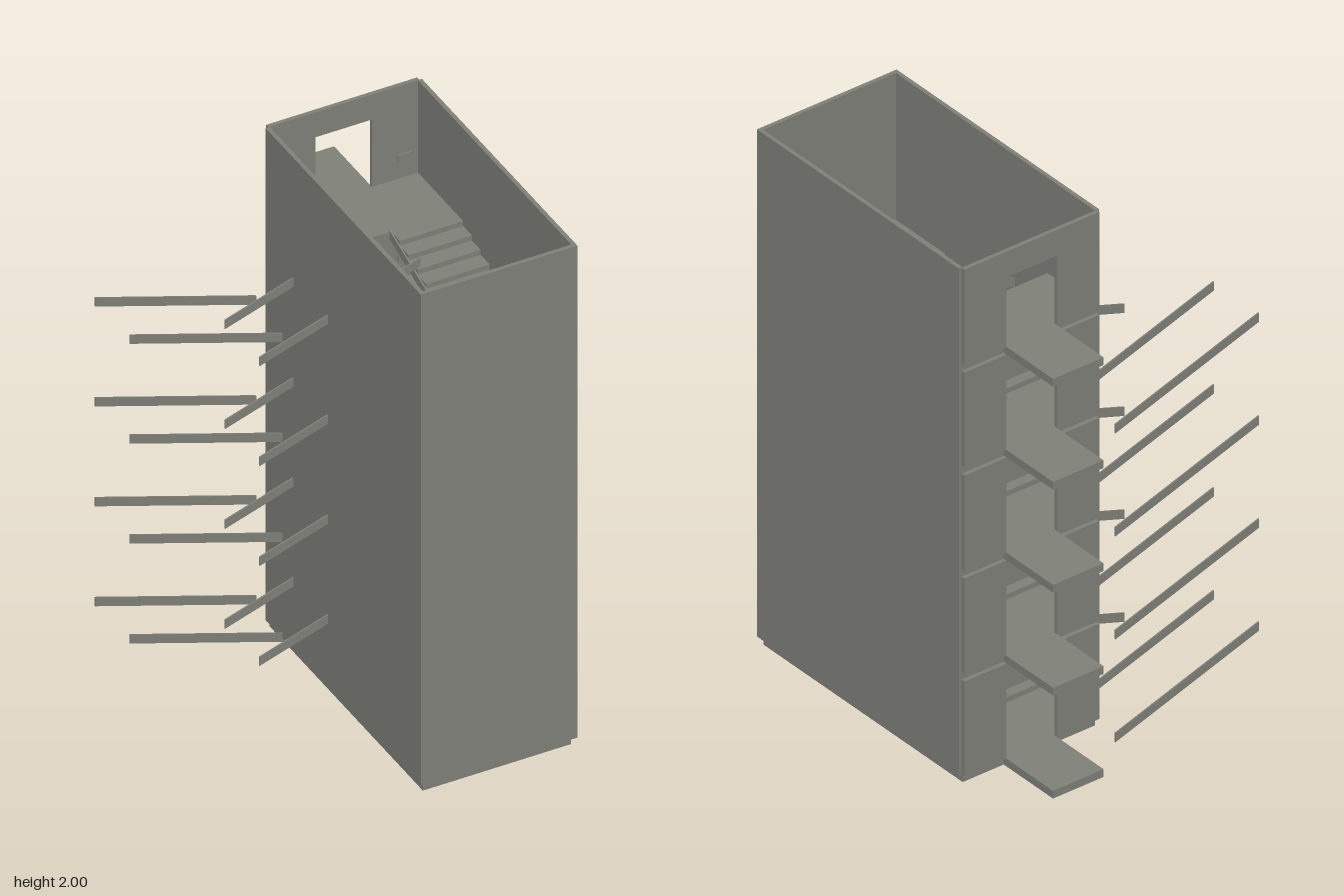
import * as THREE from 'three';

export function createModel() {
  const model = new THREE.Group();
  const concrete = new THREE.MeshStandardMaterial({ color: 0x80827a });
  concrete.name = 'concrete grey';

  const add = (name, geometry) => {
    const mesh = new THREE.Mesh(geometry, concrete);
    mesh.name = name;
    model.add(mesh);
    return mesh;
  };
  // Box given by its limits on each axis
  const box = (name, x0, x1, y0, y1, z0, z1) =>
    add(name, new THREE.BoxGeometry(x1 - x0, y1 - y0, z1 - z0)
      .translate((x0 + x1) / 2, (y0 + y1) / 2, (z0 + z1) / 2));
  // Flat outline extruded along z
  const extrude = (points, depth) => new THREE.ExtrudeGeometry(
    new THREE.Shape(points.map(([a, b]) => new THREE.Vector2(a, b))),
    { depth, bevelEnabled: false });
  // Outline in (z, y), extruded from x0 to x1
  const sideways = (name, points, x0, x1) =>
    add(name, extrude(points, x1 - x0).rotateY(-Math.PI / 2).translate(x1, 0, 0));
  // Sloping bar outline with upright ends
  const bar = (a0, b0, a1, b1, h) => [[a0, b0], [a1, b1], [a1, b1 + h], [a0, b0 + h]];

  const backZ = -0.155, frontZ = 0.445;   // ends of the stair flights
  const floorHeight = 0.4, slab = 0.03, steps = 10;

  // Outer shell, open at the top
  box('groundSlab', 0.005, 0.555, 0, slab, -0.405, 0.645);
  box('rightWall', -0.01, 0.005, slab, 2, -0.405, 0.66);
  box('leftWall', 0.555, 0.57, slab, 2, -0.405, 0.66);
  box('frontWall', 0.005, 0.555, slab, 2, 0.645, 0.66);

  // Stepped flight with a sloping underside
  function flight(name, z0, z1, y0, x0, x1) {
    const points = [[z0, y0 - slab], [z0, y0]];
    const run = (z1 - z0) / steps, rise = 0.2 / steps;
    for (let i = 0; i < steps; i++) {
      points.push([z0 + run * i, y0 + rise * (i + 1)], [z0 + run * (i + 1), y0 + rise * (i + 1)]);
    }
    points.push([z1, y0 + 0.2 - slab]);
    sideways(name, points, x0, x1);
  }

  for (let level = 0; level < 5; level++) {
    const y = level * floorHeight;

    // Back wall panel with a doorway, and the balcony outside it
    const panel = extrude([
      [0, y + slab], [0.175, y + slab], [0.175, y + 0.3], [0.385, y + 0.3],
      [0.385, y + slab], [0.56, y + slab], [0.56, y + 0.4], [0, y + 0.4],
    ], 0.015).translate(0, 0, -0.42);
    add('backWallPanel', panel);
    box('balcony', 0.175, 0.385, y, y + slab, -0.665, -0.405);
    if (level > 0) box('backLanding', 0.005, 0.555, y, y + slab, -0.405, backZ);

    // Small plates on the inner faces of the front and back walls
    box('frontPlate', 0.48, 0.53, y + 0.1, y + 0.125, 0.638, 0.645);
    box('backPlate', 0.48, 0.53, y + 0.1, y + 0.125, -0.405, -0.4);

    if (level === 4) continue;

    // Two flights joined by a half landing
    box('halfLanding', 0.005, 0.555, y + 0.2, y + 0.2 + slab, frontZ, 0.645);
    flight('lowerFlight', backZ, frontZ, y + slab, 0.005, 0.24);
    flight('upperFlight', frontZ, backZ, y + 0.2 + slab, 0.32, 0.555);
    sideways('lowerStringer', bar(backZ, y + 0.005, frontZ, y + 0.2, 0.035), 0.24, 0.245);
    sideways('upperStringer', bar(frontZ, y + 0.2, backZ, y + 0.4, 0.035), 0.315, 0.32);

    // Sloping bars that pass out through the right wall
    for (const z of [-0.53, -0.292]) {
      add('lowerOuterBar', extrude(bar(0.022, y + 0.005, -0.575, y + 0.2, 0.035), 0.005).translate(0, 0, z - 0.0025));
    }
    for (const z of [-0.217, 0.02]) {
      add('upperOuterBar', extrude(bar(-0.263, y + 0.2, 0.334, y + 0.397, 0.035), 0.005).translate(0, 0, z - 0.0025));
    }
  }
  return model;
}
